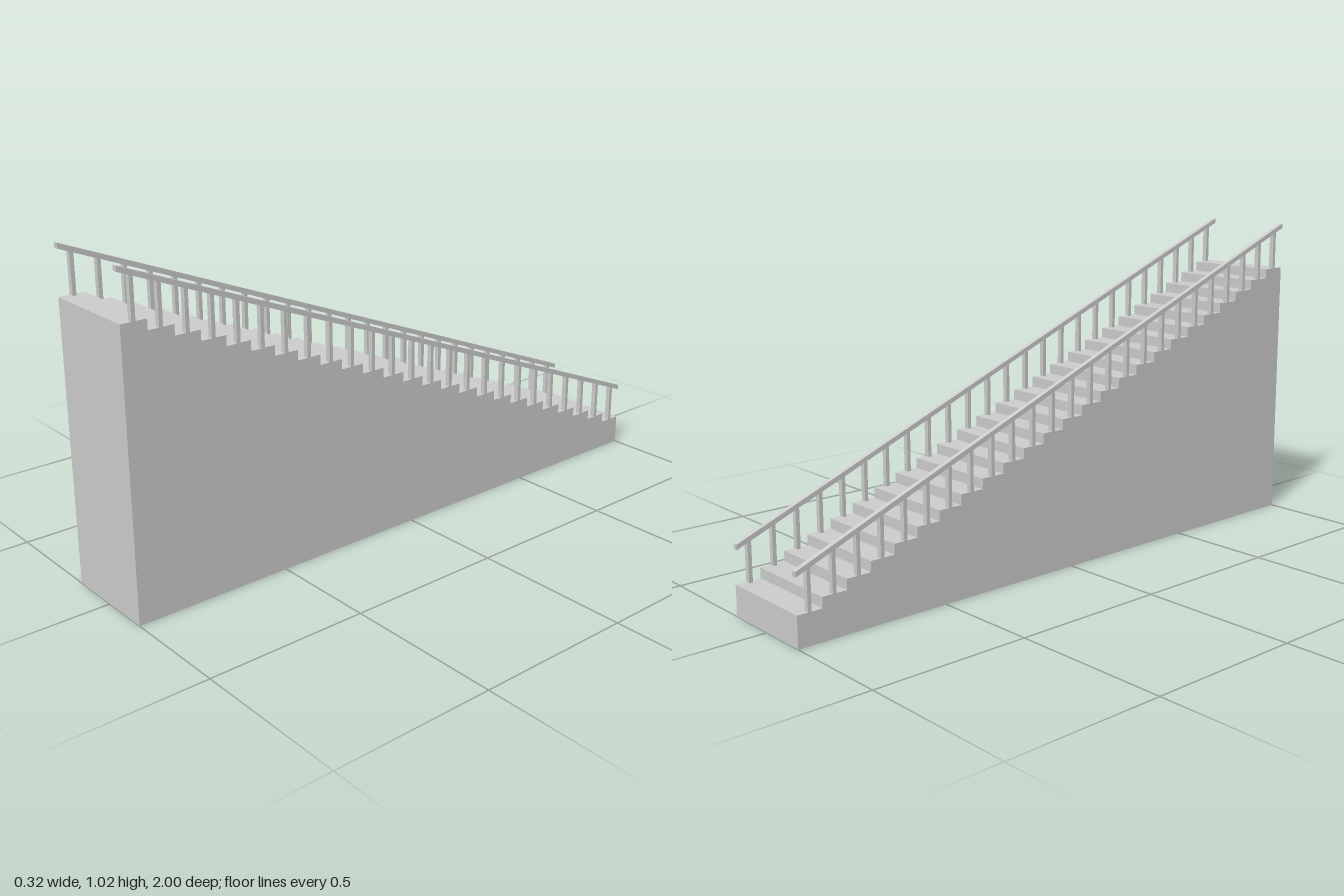
import * as THREE from 'three';

const STEPS = 25, TREAD = 0.08, RISE = 0.032, FIRST = 0.096;
const WIDTH = 0.32, RAIL = 0.016, POST_DEPTH = 0.012;
const SLOPE = RISE / TREAD;
const RAIL_MID = 0.609; // rail centre height at z = 0

const material = new THREE.MeshStandardMaterial({ color: 0xcccccc, flatShading: true });

// Extrudes a side profile drawn in (z, y) across x, centred on x = 0
function sideExtrude(points, width, name) {
  const shape = new THREE.Shape(points.map(([z, y]) => new THREE.Vector2(z, y)));
  const geometry = new THREE.ExtrudeGeometry(shape, { depth: width, bevelEnabled: false });
  geometry.translate(0, 0, -width / 2).rotateY(-Math.PI / 2);
  const mesh = new THREE.Mesh(geometry, material);
  mesh.name = name;
  return mesh;
}

const railHeight = (z) => RAIL_MID + SLOPE * z;
const stepTop = (i) => FIRST + i * RISE;

// Sloping handrail with one baluster per step
function createRailing(name) {
  const railing = new THREE.Group();
  railing.name = name;
  const h = RAIL / 2;
  railing.add(sideExtrude([
    [-1, railHeight(-1) - h], [1, railHeight(1) - h],
    [1, railHeight(1) + h], [-1, railHeight(-1) + h],
  ], RAIL, 'handrail'));

  for (let i = 0; i < STEPS; i++) {
    const z = -1 + (i + 0.5) * TREAD;
    const height = railHeight(z) - stepTop(i);
    const post = new THREE.Mesh(new THREE.BoxGeometry(RAIL, height, POST_DEPTH), material);
    post.position.set(0, stepTop(i) + height / 2, z);
    post.name = 'baluster';
    railing.add(post);
  }
  return railing;
}

export function createModel() {
  const model = new THREE.Group();
  model.name = 'staircase';

  // Solid stepped body, rising from back to front
  const profile = [[1, 0], [-1, 0]];
  for (let i = 0; i < STEPS; i++) {
    const z = -1 + i * TREAD;
    profile.push([z, stepTop(i)], [z + TREAD, stepTop(i)]);
  }
  model.add(sideExtrude(profile, WIDTH, 'steps'));

  // Railings flush with both sides
  for (const side of [-1, 1]) {
    const railing = createRailing(side > 0 ? 'leftRailing' : 'rightRailing');
    railing.position.x = side * (WIDTH - RAIL) / 2;
    model.add(railing);
  }
  return model;
}
